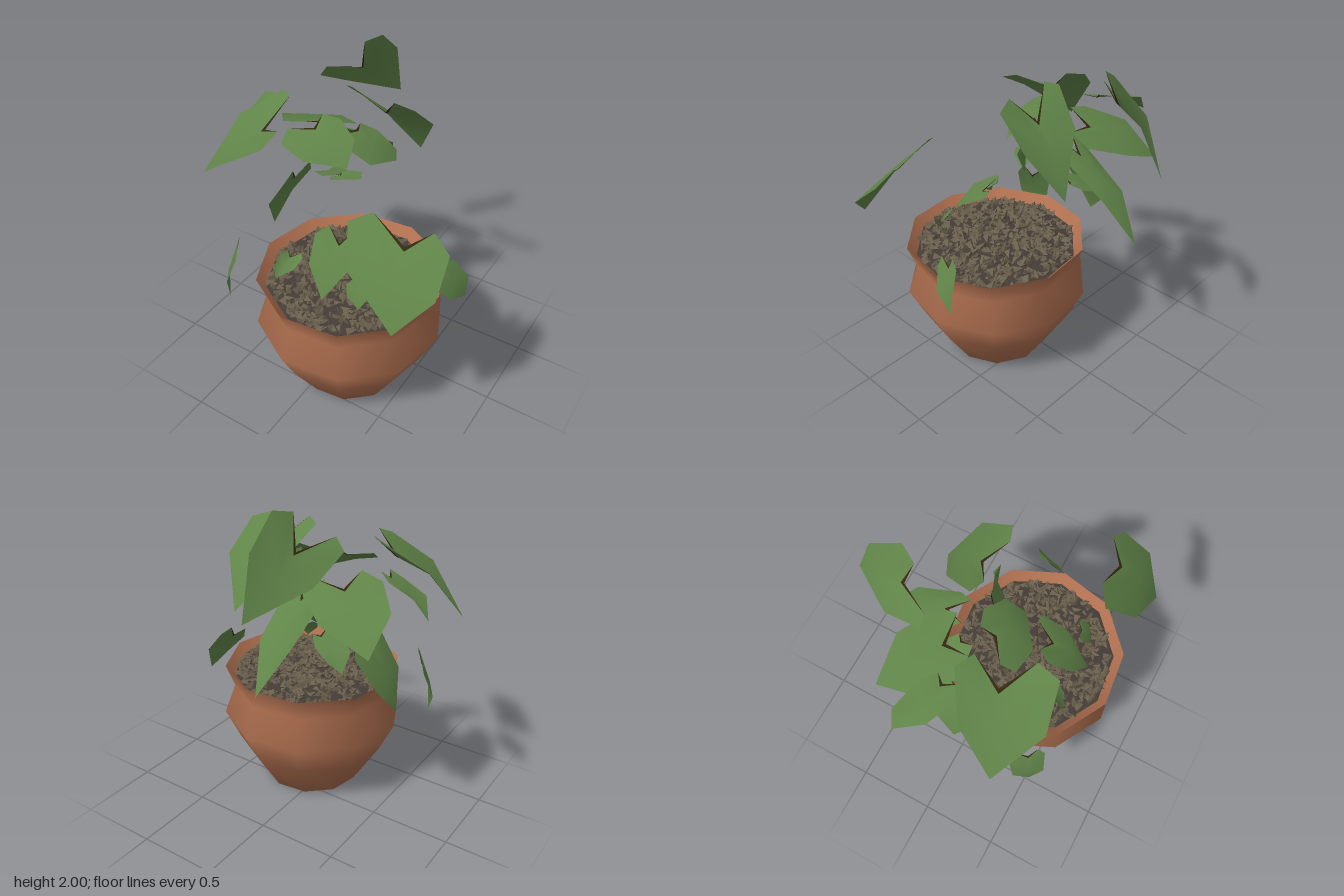
import * as THREE from 'three';
import { mergeGeometries } from 'three/addons/utils/BufferGeometryUtils.js';

const mat = (name, color, side = THREE.FrontSide) => {
  const m = new THREE.MeshStandardMaterial({ color, side });
  m.name = name;
  return m;
};

// Small seeded random generator
function makeRandom(seed) {
  return () => {
    seed = (seed * 16807) % 2147483647;
    return seed / 2147483647;
  };
}

// Arched heart-shaped leaf from its notch, tip and two widest corners;
// group 0 is the blade, group 1 the withered edge of the notch
function leafGeometry(notch, tip, sideA, sideB) {
  const [n, t, a, b] = [notch, tip, sideA, sideB].map((p) => new THREE.Vector3(...p));
  const back = n.clone().sub(t);
  let [l, r] = [a, b];
  const up = a.clone().sub(b).cross(back).normalize();
  if (up.y > 0) [l, r] = [b, a];
  else up.negate();
  const lift = back.length() * 0.1;
  const lobe = (s) => n.clone().lerp(s, 0.6).addScaledVector(back, 0.22);
  const belly = (s) => s.clone().lerp(t, 0.53).addScaledVector(s.clone().sub(n), 0.38).addScaledVector(up, lift);
  const middle = n.clone().lerp(t, 0.4).addScaledVector(up, lift);
  const inner = n.clone().lerp(middle, 0.13);
  const points = [middle, inner, lobe(l), l, belly(l), t, belly(r), r, lobe(r), n];
  const g = new THREE.BufferGeometry().setFromPoints(points);
  const index = [];
  for (let i = 1; i <= 8; i++) index.push(0, (i % 8) + 1, i);
  index.push(1, 2, 9, 1, 9, 8);
  g.setIndex(index);
  g.addGroup(0, 24, 0);
  g.addGroup(24, 6, 1);
  g.computeVertexNormals();
  return g;
}

export function createModel() {
  const model = new THREE.Group();
  model.name = 'pottedPlant';
  const terracotta = mat('terracotta', 0xb07050, THREE.DoubleSide);
  const leafGreen = mat('leafGreen', 0x618549, THREE.DoubleSide);
  const witheredBrown = mat('witheredBrown', 0x33280f, THREE.DoubleSide);
  const soilBrown = mat('soilBrown', 0x453c37);
  const chipBrown = mat('chipBrown', 0x6a5f4d);

  const pot = new THREE.Group();
  pot.name = 'pot';
  pot.position.set(0.115, 0, 0.215);
  model.add(pot);
  const lathe = (name, profile, material) => {
    const pts = profile.map((p) => new THREE.Vector2(...p));
    const mesh = new THREE.Mesh(new THREE.LatheGeometry(pts, 10, -0.2), material);
    mesh.name = name;
    pot.add(mesh);
  };

  // Pot: round belly, narrow neck and thin flared rim
  lathe('potWall', [[0, 0], [0.315, 0], [0.485, 0.28], [0.58, 0.48], [0.51, 0.67], [0.565, 0.815]], terracotta);
  lathe('potRimInside', [[0.565, 0.815], [0.475, 0.71]], terracotta);
  lathe('soil', [[0.51, 0.755], [0.35, 0.78], [0, 0.795]], soilBrown);

  // Loose chips scattered over the soil
  const random = makeRandom(77);
  const chips = [];
  const dummy = new THREE.Object3D();
  for (let i = 0; i < 800; i++) {
    const radius = 0.48 * Math.sqrt(random());
    const angle = random() * Math.PI * 2;
    const size = 0.019 + random() * 0.016;
    dummy.position.set(radius * Math.cos(angle), 0.8 - 0.15 * radius * radius, radius * Math.sin(angle));
    dummy.rotation.set((random() - 0.5) * 1.2, random() * 6.28, (random() - 0.5) * 1.2);
    dummy.scale.set(size * 1.6, size * 0.8, size * 0.8);
    dummy.updateMatrix();
    chips.push(new THREE.TetrahedronGeometry(1).applyMatrix4(dummy.matrix));
  }
  const soilChips = new THREE.Mesh(mergeGeometries(chips), chipBrown);
  soilChips.name = 'soilChips';
  pot.add(soilChips);

  const leaves = new THREE.Group();
  leaves.name = 'leaves';
  model.add(leaves);
  const leaf = (name, ...corners) => {
    const mesh = new THREE.Mesh(leafGeometry(...corners), [leafGreen, witheredBrown]);
    mesh.name = name;
    leaves.add(mesh);
  };

  // Upper leaves: notch, tip, two widest corners
  leaf('leafFrontLeft', [0.61, 1.38, 0.48], [0.7, 1.03, 0.75], [0.3, 1.45, 0.53], [0.83, 1.37, 0.41]);
  leaf('leafBackLeft', [0.12, 1.71, -0.14], [0.21, 1.36, -0.43], [-0.11, 1.84, -0.09], [0.34, 1.81, -0.08]);
  leaf('leafTop', [-0.21, 1.79, -0.42], [-0.14, 1.5, -0.79], [-0.38, 1.77, -0.23], [-0.1, 2.0, -0.47]);
  leaf('leafBack', [-0.12, 1.46, -0.23], [-0.12, 1.03, -0.68], [-0.23, 1.45, -0.2], [0.0, 1.47, -0.22]);
  leaf('leafFrontRight', [-0.43, 1.62, 0.25], [-0.81, 1.28, 0.4], [-0.47, 1.76, 0.02], [-0.26, 1.67, 0.51]);
  leaf('leafBackRight', [-0.32, 1.52, -0.13], [-0.65, 1.29, -0.41], [-0.48, 1.55, 0.02], [-0.15, 1.49, -0.28]);
  leaf('leafRight', [-0.54, 1.6, -0.02], [-0.85, 1.47, -0.16], [-0.6, 1.62, -0.14], [-0.58, 1.57, 0.08]);
  leaf('leafCentre', [-0.2, 1.63, 0.1], [0.06, 1.48, 0.16], [-0.3, 1.58, 0.28], [-0.1, 1.66, -0.02]);
  leaf('leafCentreBack', [0.0, 1.62, -0.03], [0.21, 1.43, -0.13], [-0.02, 1.51, 0.03], [0.12, 1.63, -0.07]);
  leaf('leafCentreSmall', [-0.03, 1.37, 0.1], [0.08, 1.35, 0.04], [-0.04, 1.38, 0.18], [0.0, 1.37, 0.02]);

  // Lower leaves hanging at the rim and sprouting from the soil
  leaf('leafDroopLeft', [0.64, 0.92, 0.06], [0.75, 0.7, -0.06], [0.64, 0.87, 0.16], [0.67, 0.95, -0.04]);
  leaf('leafDroopRight', [-0.43, 1.16, 0.0], [-0.6, 0.76, 0.03], [-0.41, 1.19, 0.15], [-0.43, 1.13, -0.17]);
  leaf('leafDroopFrontRight', [-0.52, 0.86, 0.5], [-0.57, 0.52, 0.55], [-0.59, 0.84, 0.4], [-0.46, 0.88, 0.58]);
  leaf('leafBackLow', [-0.17, 1.2, -0.13], [-0.39, 1.06, -0.24], [-0.2, 1.17, -0.23], [-0.26, 1.2, -0.05]);
  leaf('leafSprout', [0.11, 1.08, 0.32], [0.15, 0.86, 0.57], [-0.03, 1.12, 0.36], [0.23, 1.12, 0.2]);
  leaf('leafSproutLeft', [0.32, 0.94, 0.43], [0.35, 0.83, 0.5], [0.25, 0.95, 0.47], [0.38, 0.96, 0.4]);
  leaf('leafSproutRight', [-0.14, 0.97, 0.46], [-0.18, 0.86, 0.56], [-0.18, 1.0, 0.5], [-0.06, 0.98, 0.45]);
  return model;
}
